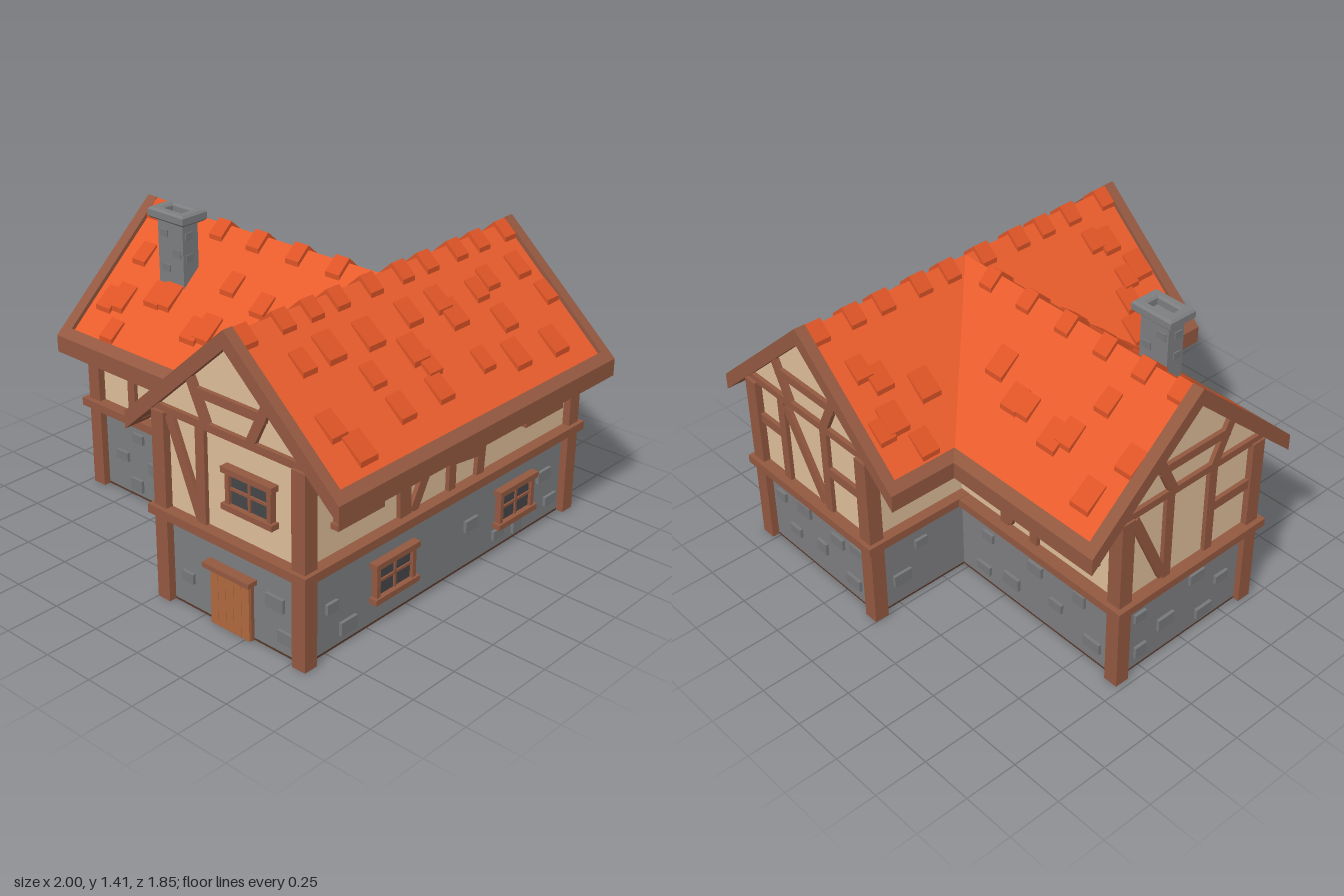
import * as THREE from 'three';

const mat = (color) => new THREE.MeshStandardMaterial({ color, flatShading: true });
const M = {
  roof: mat(0xe85c2c), tile: mat(0xdd5426), wood: mat(0x935840), plaster: mat(0xdebd99),
  stone: mat(0x7d7e80), block: mat(0x77787a), door: mat(0xb0683f), glass: mat(0x454648), floor: mat(0x5a382a),
};
const RX = 0.415, CZ = 0.005, RIDGE = 1.30, PITCH = 0.9; // ridge lines, height and slope
const mainH = (x, z) => RIDGE - PITCH * Math.abs(x - RX);
const sideH = (x, z) => RIDGE - PITCH * Math.abs(z - CZ);

function add(parent, name, geo, material, x = 0, y = 0, z = 0) {
  const m = new THREE.Mesh(geo, material);
  m.name = name;
  m.position.set(x, y, z);
  parent.add(m);
  return m;
}
const box = (parent, name, material, w, h, d, x, y, z) =>
  add(parent, name, new THREE.BoxGeometry(w, h, d), material, x, y, z);

// Plan polygon [x, z] extruded between two offsets from a height function
function slab(parent, name, material, plan, heightAt, low, high) {
  const shape = new THREE.Shape(plan.map(([x, z]) => new THREE.Vector2(x, -z)));
  const geo = new THREE.ExtrudeGeometry(shape, { depth: high - low, bevelEnabled: false });
  geo.rotateX(-Math.PI / 2);
  const p = geo.attributes.position;
  for (let i = 0; i < p.count; i++) p.setY(i, p.getY(i) + low + heightAt(p.getX(i), p.getZ(i)));
  geo.computeVertexNormals();
  return add(parent, name, geo, material);
}
const rect = (x0, x1, z0, z1) => [[x0, z0], [x1, z0], [x1, z1], [x0, z1]];

// House-shaped wall solid, centred across its width
function gableWalls(half, length) {
  const top = (d) => RIDGE - 0.035 - PITCH * d;
  const s = new THREE.Shape([[-half, 0.42], [half, 0.42], [half, top(half)], [0, top(0)], [-half, top(half)]]
    .map(([x, y]) => new THREE.Vector2(x, y)));
  return new THREE.ExtrudeGeometry(s, { depth: length, bevelEnabled: false });
}

// A wall face: local x runs along the wall, z points outwards
function face(parent, name, x, z, turn) {
  const g = new THREE.Group();
  g.name = name;
  g.position.set(x, 0, z);
  g.rotation.y = turn * Math.PI / 2;
  parent.add(g);
  return g;
}
function timber(f, x1, y1, x2, y2, w = 0.045) {
  const m = box(f, 'timber', M.wood, Math.hypot(x2 - x1, y2 - y1), w, 0.04, (x1 + x2) / 2, (y1 + y2) / 2, 0);
  m.rotation.z = Math.atan2(y2 - y1, x2 - x1);
}
function windowAt(f, x, y) {
  const g = new THREE.Group();
  g.name = 'window';
  g.position.set(x, y, 0);
  f.add(g);
  box(g, 'windowGlass', M.glass, 0.23, 0.14, 0.03, 0, 0, 0);
  for (const s of [-1, 1]) {
    box(g, 'windowJamb', M.wood, 0.022, 0.16, 0.06, s * 0.112, 0, 0);
    box(g, 'windowSill', M.wood, 0.275, 0.026, 0.08, 0, s * 0.081, 0);
  }
  box(g, 'windowMullion', M.wood, 0.012, 0.14, 0.045, 0, 0, 0);
  box(g, 'windowRail', M.wood, 0.21, 0.012, 0.045, 0, 0, 0);
}
const stones = (f, list) => list.forEach(([x, y], i) =>
  box(f, 'wallStone', M.block, 0.065 + (i * 7 % 4) * 0.01, 0.045 + (i * 5 % 3) * 0.008, 0.03, x, y, 0));

// Collar and slanted struts in a gable triangle
function gableTimbers(f, c) {
  timber(f, c - 0.41, 0.88, c + 0.41, 0.88, 0.034);
  timber(f, c - 0.2, 1.015, c + 0.2, 1.015, 0.04);
  for (const s of [-1, 1]) timber(f, c + s * 0.12, 0.89, c + s * 0.205, 1.065, 0.045);
}

function buildWalls(house) {
  box(house, 'mainFloor', M.floor, 0.77, 0.01, 1.74, RX, 0.005, 0);
  box(house, 'sideFloor', M.floor, 0.98, 0.01, 0.76, -0.455, 0.005, CZ);
  box(house, 'mainStoneBase', M.stone, 0.77, 0.41, 1.74, RX, 0.215, 0);
  box(house, 'sideStoneBase', M.stone, 0.98, 0.41, 0.76, -0.455, 0.215, CZ);
  add(house, 'mainPlasterWalls', gableWalls(0.385, 1.74), M.plaster, RX, 0, -0.87);
  add(house, 'sidePlasterWalls', gableWalls(0.38, 1.2), M.plaster, -0.945, 0, CZ).rotation.y = Math.PI / 2;
  box(house, 'mainFloorBeam', M.wood, 0.875, 0.04, 1.85, 0.4175, 0.42, 0);
  box(house, 'sideFloorBeam', M.wood, 1.0, 0.038, 0.88, -0.5, 0.42, CZ);
  for (const s of [-1, 1]) {
    for (const x of [0.035, 0.8]) box(house, 'cornerPost', M.wood, 0.07, 0.87, 0.07, x, 0.435, s * 0.87);
    box(house, 'cornerPost', M.wood, 0.07, 0.87, 0.07, -0.94, 0.435, CZ + s * 0.38);
  }
}

function buildFaces(house) {
  const front = face(house, 'frontWall', 0, 0.87, 0);
  gableTimbers(front, RX);
  timber(front, 0.26, 0.44, 0.26, 0.87, 0.05);
  timber(front, 0.085, 0.86, 0.25, 0.46, 0.045);
  windowAt(front, 0.53, 0.66);
  stones(front, [[0.16, 0.145], [0.65, 0.23], [0.71, 0.09]]);
  for (let i = 0; i < 5; i++) box(front, 'doorPlank', M.door, 0.042, 0.27, 0.04, 0.328 + i * 0.0435, 0.135, 0.005);
  box(front, 'doorBacking', M.wood, 0.225, 0.27, 0.03, 0.415, 0.135, 0.002);
  box(front, 'doorLintel', M.wood, 0.26, 0.022, 0.09, 0.415, 0.275, 0.005);

  const back = face(house, 'backWall', 0, -0.87, 2);
  gableTimbers(back, -RX);
  for (const x of [-0.6, -0.3]) timber(back, x, 0.44, x, 0.87);
  timber(back, -0.57, 0.85, -0.33, 0.46);
  timber(back, -0.77, 0.68, -0.61, 0.68);
  timber(back, -0.28, 0.66, -0.06, 0.66);
  stones(back, [[-0.69, 0.28], [-0.52, 0.3], [-0.28, 0.27], [-0.6, 0.13], [-0.4, 0.16], [-0.18, 0.1], [-0.14, 0.3]]);

  const right = face(house, 'longWall', 0.8, 0, 1);
  for (const [x, y] of [[-0.35, 0.205], [0.475, 0.205], [-0.585, 0.65], [0.63, 0.65]]) windowAt(right, x, y);
  timber(right, -0.29, 0.44, -0.31, 0.88, 0.07);
  timber(right, -0.24, 0.44, -0.02, 0.84, 0.05);
  timber(right, 0.01, 0.44, 0.01, 0.88);
  timber(right, 0.2, 0.44, 0.235, 0.88, 0.05);
  timber(right, 0.02, 0.575, 0.2, 0.55);
  timber(right, 0.02, 0.71, 0.22, 0.735, 0.04);
  stones(right, [[-0.72, 0.205], [-0.62, 0.075], [0.17, 0.205], [0.37, 0.075], [0.51, 0.06], [0.7, 0.235], [0.76, 0.09]]);

  const sideFront = face(house, 'sideFrontWall', 0, CZ + 0.38, 0);
  timber(sideFront, -0.7, 0.44, -0.7, 0.86);
  timber(sideFront, -0.91, 0.67, -0.72, 0.67, 0.05);
  stones(sideFront, [[-0.68, 0.31], [-0.44, 0.3], [-0.19, 0.305], [-0.79, 0.19], [-0.58, 0.18], [-0.345, 0.19],
    [-0.09, 0.13], [-0.7, 0.065], [-0.4, 0.05]]);

  const sideBack = face(house, 'sideBackWall', 0, CZ - 0.38, 2);
  for (const x of [0.27, 0.45]) timber(sideBack, x, 0.44, x, 0.86);
  timber(sideBack, 0.02, 0.65, 0.26, 0.65);
  timber(sideBack, 0.29, 0.46, 0.43, 0.84);
  windowAt(sideBack, 0.69, 0.65);
  stones(sideBack, [[0.15, 0.28], [0.3, 0.12], [0.45, 0.29], [0.58, 0.17], [0.72, 0.3], [0.8, 0.1], [0.12, 0.08]]);

  const end = face(house, 'sideEndWall', -0.945, 0, -1);
  gableTimbers(end, CZ);
  for (const x of [-0.13, 0.12]) timber(end, x, 0.44, x, 0.87);
  timber(end, -0.33, 0.85, -0.15, 0.46);
  timber(end, 0.14, 0.66, 0.35, 0.66);
  stones(end, [[-0.26, 0.29], [-0.1, 0.16], [0.08, 0.3], [0.24, 0.2], [-0.25, 0.09], [0.14, 0.07]]);

  stones(face(house, 'mainInnerWalls', 0.03, 0, -1), [[-0.62, 0.28], [-0.73, 0.14], [0.6, 0.28], [0.73, 0.13]]);
}

function buildRoof(house) {
  const roof = new THREE.Group();
  roof.name = 'roof';
  house.add(roof);
  // Tiled skin over a wooden underside
  const slope = (plan, h) => {
    slab(roof, 'roofSlope', M.roof, plan, h, -0.02, 0);
    slab(roof, 'roofUnderside', M.wood, plan, h, -0.05, -0.02);
  };
  const trim = (plan, h) => slab(roof, 'roofTrim', M.wood, plan, h, -0.055, 0.025);
  slope(rect(RX, RX + 0.575, -0.89, 0.89), mainH);
  trim(rect(RX + 0.545, RX + 0.585, -0.9, 0.9), mainH);
  for (const s of [-1, 1]) {
    const e = CZ + s * 0.575, o = CZ + s * 0.58, i = CZ + s * 0.54;
    slope([[RX, CZ], [-0.16, e], [-0.16, s * 0.89], [RX, s * 0.89]], mainH);
    slope([[RX, CZ], [-0.16, e], [-0.965, e], [-0.965, CZ]], sideH);
    trim([[-0.165, o], [-0.125, i], [-0.125, s * 0.9], [-0.165, s * 0.9]], mainH);
    trim([[-0.165, o], [-0.125, i], [-0.975, i], [-0.975, o]], sideH);
    trim(rect(RX, RX + 0.585, s * 0.85, s * 0.902), mainH);
    trim(rect(-0.165, RX, s * 0.85, s * 0.902), mainH);
    trim(rect(-0.977, -0.92, CZ, o), sideH);
    // Ridge caps
    for (const z of [0.815, 0.605, 0.443, 0.29, 0.09, -0.11, -0.27, -0.47, -0.625, -0.81])
      slab(roof, 'ridgeTile', M.tile, rect(RX, RX + s * 0.065, z - 0.038, z + 0.038), mainH, -0.02, 0.022);
    for (const x of [-0.885, -0.69, -0.475, -0.25, -0.015, 0.215])
      slab(roof, 'ridgeTile', M.tile, rect(x - 0.038, x + 0.038, CZ, CZ + s * 0.065), sideH, -0.02, 0.022);
  }
  // Loose tiles, lifted at the lower edge
  const tiles = (list, h) => list.forEach(([x, z], i) => {
    const r = 0.04 + (i % 3) * 0.005, y = h(x, z);
    slab(roof, 'roofTile', M.tile, rect(x - r, x + r, z - r, z + r), (a, b) => h(a, b) + 0.15 * (y - h(a, b)), -0.015, 0.018);
  });
  tiles([[-0.8, 0.2], [-0.83, 0.39], [-0.77, 0.37], [-0.71, 0.49], [-0.59, 0.32], [-0.53, 0.31], [-0.24, 0.2],
    [-0.29, 0.39], [-0.23, 0.37], [-0.03, 0.235], [-0.87, -0.27], [-0.79, -0.42], [-0.63, -0.16], [-0.56, -0.3],
    [-0.5, -0.33], [-0.31, -0.3], [-0.24, -0.3], [-0.08, -0.23]], sideH);
  tiles([[0.69, -0.8], [0.57, -0.745], [0.845, -0.65], [0.57, -0.53], [0.71, -0.47], [0.83, -0.4], [0.59, -0.43],
    [0.57, -0.19], [0.63, -0.22], [0.8, -0.21], [0.57, 0.0], [0.68, 0.1], [0.74, 0.07], [0.82, 0.1], [0.58, 0.26],
    [0.7, 0.37], [0.82, 0.34], [0.57, 0.48], [0.58, 0.64], [0.78, 0.7], [0.87, 0.64], [0.03, -0.78], [-0.06, -0.64],
    [0.05, -0.71], [0.23, -0.73], [0.18, -0.67], [0.1, -0.5], [0.27, 0.64], [0.25, 0.71], [0.13, 0.79], [-0.02, 0.71],
    [0.04, 0.65], [-0.06, 0.6], [0.11, 0.7]], mainH);
}

function buildChimney(house) {
  const g = new THREE.Group();
  g.name = 'chimney';
  g.position.set(-0.552, 0, 0.22);
  house.add(g);
  box(g, 'chimneyShaft', M.stone, 0.155, 0.32, 0.09, 0, 1.21, 0);
  const outline = (w, d) => [[-w, -d], [w, -d], [w, d], [-w, d]].map(([x, y]) => new THREE.Vector2(x, y));
  const cap = new THREE.Shape(outline(0.1, 0.063));
  cap.holes.push(new THREE.Path(outline(0.07, 0.04)));
  const geo = new THREE.ExtrudeGeometry(cap, { depth: 0.03, bevelThickness: 0.01, bevelSize: 0.01, bevelSegments: 1 });
  geo.rotateX(-Math.PI / 2);
  add(g, 'chimneyCap', geo, M.stone, 0, 1.37, 0);
  for (const [x, y] of [[-0.04, 1.3], [0.04, 1.22], [-0.03, 1.14]])
    box(g, 'chimneyStone', M.block, 0.05, 0.035, 0.1, x, y, 0);
  for (const y of [1.3, 1.2]) box(g, 'chimneyStone', M.block, 0.165, 0.035, 0.04, 0, y, 0.01);
}

export function createModel() {
  const house = new THREE.Group();
  house.name = 'timberFramedHouse';
  buildWalls(house);
  buildFaces(house);
  buildRoof(house);
  buildChimney(house);
  return house;
}
